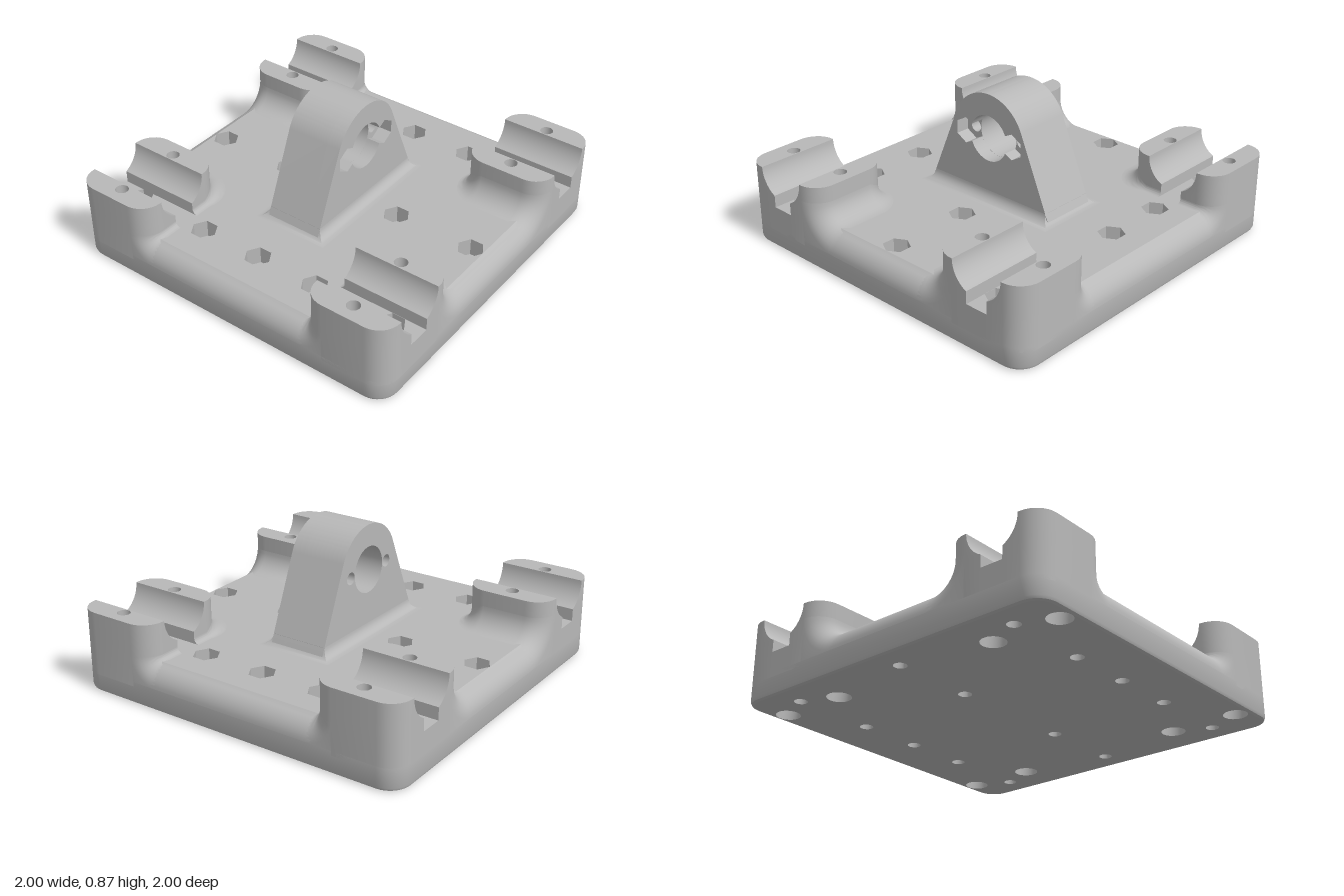
import * as THREE from 'three';
import { toCreasedNormals } from 'three/addons/utils/BufferGeometryUtils.js';

const PI = Math.PI, R = 0.12, TOP = 0.245, HIGH = 0.455, MID = 0.715;
const BOLT = 0.036, HEX = 0.074, HEX_FLOOR = 0.145, BORE = 0.066, BORE_TOP = 0.1;
const steel = new THREE.MeshStandardMaterial({ color: 0xb8b8b8, side: THREE.DoubleSide });
steel.name = 'grey metal';

function add(parent, name, geometry) {
  const mesh = new THREE.Mesh(toCreasedNormals(geometry, 0.6), steel);
  mesh.name = name;
  parent.add(mesh);
  return mesh;
}

// Skin over a list of cross-sections, each a list of [x, y, z]
function loft(sections, closed = true) {
  const n = sections[0].length, index = [];
  for (let i = 0; i + 1 < sections.length; i++) {
    for (let j = 0; j < (closed ? n : n - 1); j++) {
      const a = i * n + j, b = i * n + (j + 1) % n;
      index.push(a, b + n, b, a, a + n, b + n);
    }
  }
  const g = new THREE.BufferGeometry();
  g.setAttribute('position', new THREE.Float32BufferAttribute(sections.flat(2), 3));
  g.setIndex(index);
  return g;
}

const at = (loop, y) => loop.map(([x, z]) => [x, y, z]);
const wall = (loop, y0, y1) => loft([at(loop, y0), at(loop, y1)]);

function ngon(cx, cz, r, n = 24) {
  return Array.from({ length: n }, (_, i) => {
    const a = PI / 2 + (i * 2 * PI) / n;
    return [cx + r * Math.cos(a), cz + r * Math.sin(a)];
  });
}

// Horizontal flat face with holes
function cap(loop, holes, y, down = false) {
  const s = down ? 1 : -1;
  const pts = (l) => l.map(([x, z]) => new THREE.Vector2(x, s * z));
  const shape = new THREE.Shape(pts(loop));
  shape.holes = holes.map((h) => new THREE.Path(pts(h)));
  return new THREE.ShapeGeometry(shape).rotateX((s * PI) / 2).translate(0, y, 0);
}

function arc(cx, cz, r, a0, a1, n = 8) {
  return Array.from({ length: n + 1 }, (_, i) => {
    const a = a0 + ((a1 - a0) * i) / n;
    return [cx + r * Math.cos(a), cz + r * Math.sin(a)];
  });
}

function roundedSquare(half, r) {
  const c = half - r;
  return [[c, c], [-c, c], [-c, -c], [c, -c]].flatMap(([x, z], k) =>
    arc(x, z, r, (k * PI) / 2, ((k + 1) * PI) / 2));
}

function buildPlate(group) {
  const bolts = [], bores = [];
  for (const x of [-MID, 0, MID]) {
    for (const z of [-0.84, -0.37, 0, 0.37, 0.84]) if (x || z) bolts.push([x, z]);
  }
  for (const x of [-0.91, -0.52, 0.52, 0.91]) for (const z of [-0.755, 0.755]) bores.push([x, z]);
  const circles = bolts.map(([x, z]) => ngon(x, z, BOLT));
  const hexes = bolts.map(([x, z]) => ngon(x, z, HEX, 6));
  const wide = bores.map(([x, z]) => ngon(x, z, BORE));
  const narrow = bores.map(([x, z]) => ngon(x, z, BOLT));

  // Underside and outer wall
  add(group, 'plateUnderside', cap(roundedSquare(0.98, 0.1), [...circles, ...wide], 0, true));
  add(group, 'plateWall', loft([[0.02, 0], [0.006, 0.006], [0, 0.02], [0, TOP - R]].map(([d, y]) =>
    at(roundedSquare(1 - d, R - d), y))));

  // Top face, notched under the corner blocks
  const e = 0.914;
  const outline = [[1, 1], [-1, 1], [-1, -1], [1, -1]].flatMap(([sx, sz]) => {
    const c = [[e, 0.55], [0.85, 0.55], [0.85, e]].map(([x, z]) => [sx * x, sz * z]);
    return sx * sz > 0 ? c : c.reverse();
  });
  add(group, 'plateTop', cap(outline, [...hexes, ...narrow.filter((_, i) => Math.abs(bores[i][0]) < 0.8)], TOP));

  // Rounded upper edges between the blocks
  const edge = [[TOP, e], ...arc(TOP - R, 1 - R, R, PI * 0.13, PI / 2)];
  for (let k = 0; k < 4; k++) {
    const strip = loft([-0.55, 0.55].map((x) => edge.map(([y, z]) => [x, y, z])), false);
    add(group, 'roundedEdge', strip).rotation.y = (k * PI) / 2;
  }

  // Nut pockets with bolt holes
  bolts.forEach((_, i) => {
    add(group, 'nutPocketWall', wall(hexes[i], HEX_FLOOR, TOP));
    add(group, 'nutPocketFloor', cap(hexes[i], [circles[i]], HEX_FLOOR));
    add(group, 'boltHole', wall(circles[i], 0, HEX_FLOOR));
  });
  // Counterbored holes through the blocks
  bores.forEach((_, i) => {
    add(group, 'counterbore', wall(wide[i], 0, BORE_TOP));
    add(group, 'counterboreSeat', cap(wide[i], [narrow[i]], BORE_TOP, true));
    add(group, 'blockBolthole', wall(narrow[i], BORE_TOP, HIGH));
  });
}

// Concave blend from a block wall to the plate; stations are { p, n, r, top }
function blend(stations) {
  const rows = stations.map(({ p, n, r, top, flat }) =>
    Array.from({ length: 11 }, (_, i) => {
      const a = (i / 10) * (PI / 2), d = flat ? 0 : r * (1 - Math.cos(a));
      return [p[0] + n[0] * d, top - r * (flat ? 1 : Math.sin(a)), p[1] + n[1] * d];
    }));
  return loft(rows, false);
}

function buildBlock(parent, sx, sz) {
  const block = new THREE.Group();
  block.name = 'bearingBlock';
  block.scale.set(sx, 1, sz);
  parent.add(block);

  // Two cheeks either side of a round channel with a square slot below
  const slot = 0.065, rad = 0.155;
  const levels = [[BORE_TOP, slot]];
  const a0 = Math.asin(slot / rad);
  for (let i = 0; i <= 10; i++) {
    const a = a0 + ((PI / 2 - a0) * i) / 10;
    levels.push([HIGH - rad * Math.cos(a), rad * Math.sin(a)]);
  }
  for (const side of [1, -1]) {
    const loop = (w) => [[MID - w, 1], ...arc(0.43 + R, 1 - R, R, PI / 2, PI),
      ...arc(0.43 + R, 0.51 + R, R, PI, PI * 1.5), [MID - w, 0.51]]
      .map(([x, z]) => [MID + side * (x - MID), z]);
    add(block, 'cheek', loft(levels.map(([y, w]) => at(loop(w), y))));
    add(block, 'cheekTop', cap(loop(rad), [ngon(MID - side * 0.195, 0.755, BOLT)], HIGH));
  }
  add(block, 'slotEnd', new THREE.BoxGeometry(2 * slot, TOP - 0.1, 0.086).translate(MID, (TOP + 0.1) / 2, 0.957));

  // Blend on the inner side, running round the inner corner to the slot
  const big = 0.12, small = 0.03, inner = [];
  for (let i = 8; i >= 0; i--) {
    const a = (i / 8) * (PI / 2), c = Math.cos(a);
    inner.push({ p: [0.43 + R * (1 - c), 1 - R + R * Math.sin(a)], n: [-1, 0], r: big + R * (1 - c), top: TOP + big });
  }
  inner.unshift({ ...inner[0], flat: true });
  for (let i = 0; i <= 8; i++) {
    const a = (i / 8) * (PI / 2), n = [-Math.cos(a), -Math.sin(a)], r = big + ((small - big) * i) / 8;
    inner.push({ p: [0.43 + R + R * n[0], 0.51 + R + R * n[1]], n, r, top: TOP + r });
  }
  const end = { p: [MID - slot, 0.51], n: [0, -1], r: small, top: TOP + small };
  inner.push(end, { ...end, flat: true });
  add(block, 'innerBlend', blend(inner));

  // Blend from the slot to the outer side
  const start = { ...end, p: [MID + slot, 0.51] };
  const outer = [{ ...start, flat: true }, start];
  for (let i = 0; i <= 8; i++) {
    const a = (i / 8) * (PI / 2), c = Math.cos(a);
    outer.push({ p: [1 - R + R * Math.sin(a), 0.51 + R * (1 - c)], n: [0, -1], r: small + R * (1 - c), top: TOP + small });
  }
  outer.push({ ...outer[outer.length - 1], flat: true });
  add(block, 'outerBlend', blend(outer));
}

function buildBracket(group) {
  const cy = 0.612, r = 0.253, hole = 0.13, nutX = 0.166, half = 0.165, pocket = 0.08;
  const tangent = 0.4;
  const outline = () => {
    const s = new THREE.Shape();
    s.moveTo(-0.43, TOP);
    s.lineTo(0.43, TOP);
    s.absarc(0, cy, r, tangent, PI - tangent, false);
    s.closePath();
    return s;
  };
  const path = (pts) => new THREE.Path(pts.map(([x, y]) => new THREE.Vector2(x, y)));
  const extrude = (s, depth, z) =>
    new THREE.ExtrudeGeometry(s, { depth, bevelEnabled: false, curveSegments: 32 }).translate(0, 0, z);

  // Rear part with round holes
  const rear = outline();
  rear.holes = [path(ngon(0, cy, hole - 0.0005, 48)), path(ngon(nutX, cy, 0.0345)), path(ngon(-nutX, cy, 0.0345))];
  add(group, 'bracketRear', extrude(rear, 2 * half - pocket, -half));

  // Front part, with two hexagonal nut pockets opening into the bore
  const front = outline(), a = 0.397, f = HEX * 0.866;
  const nut = (s) => [[s * nutX, cy + s * -HEX], [s * (nutX + f), cy - s * HEX / 2],
    [s * (nutX + f), cy + s * HEX / 2], [s * nutX, cy + s * HEX]];
  front.holes = [path([...nut(1), ...arc(0, cy, hole, a, PI - a, 20), ...nut(-1),
    ...arc(0, cy, hole, PI + a, 2 * PI - a, 20)])];
  add(group, 'bracketFront', extrude(front, pocket, half - pocket));

  // Mitred blend around the foot
  const foot = [];
  for (let i = 0; i <= 8; i++) {
    const t = (i / 8) * (PI / 2), d = 1 - Math.cos(t);
    const x = 0.405 + 0.055 * d, z = half + 0.06 * d;
    foot.push(at([[x, z], [-x, z], [-x, -z], [x, -z]], TOP + 0.06 * (1 - Math.sin(t))));
  }
  add(group, 'bracketFoot', loft(foot));
}

export function createModel() {
  const model = new THREE.Group();
  model.name = 'mountingPlate';
  const plate = new THREE.Group(), bracket = new THREE.Group();
  plate.name = 'plate';
  bracket.name = 'bracket';
  model.add(plate, bracket);
  buildPlate(plate);
  buildBracket(bracket);
  for (const sx of [1, -1]) for (const sz of [1, -1]) buildBlock(model, sx, sz);
  return model;
}
